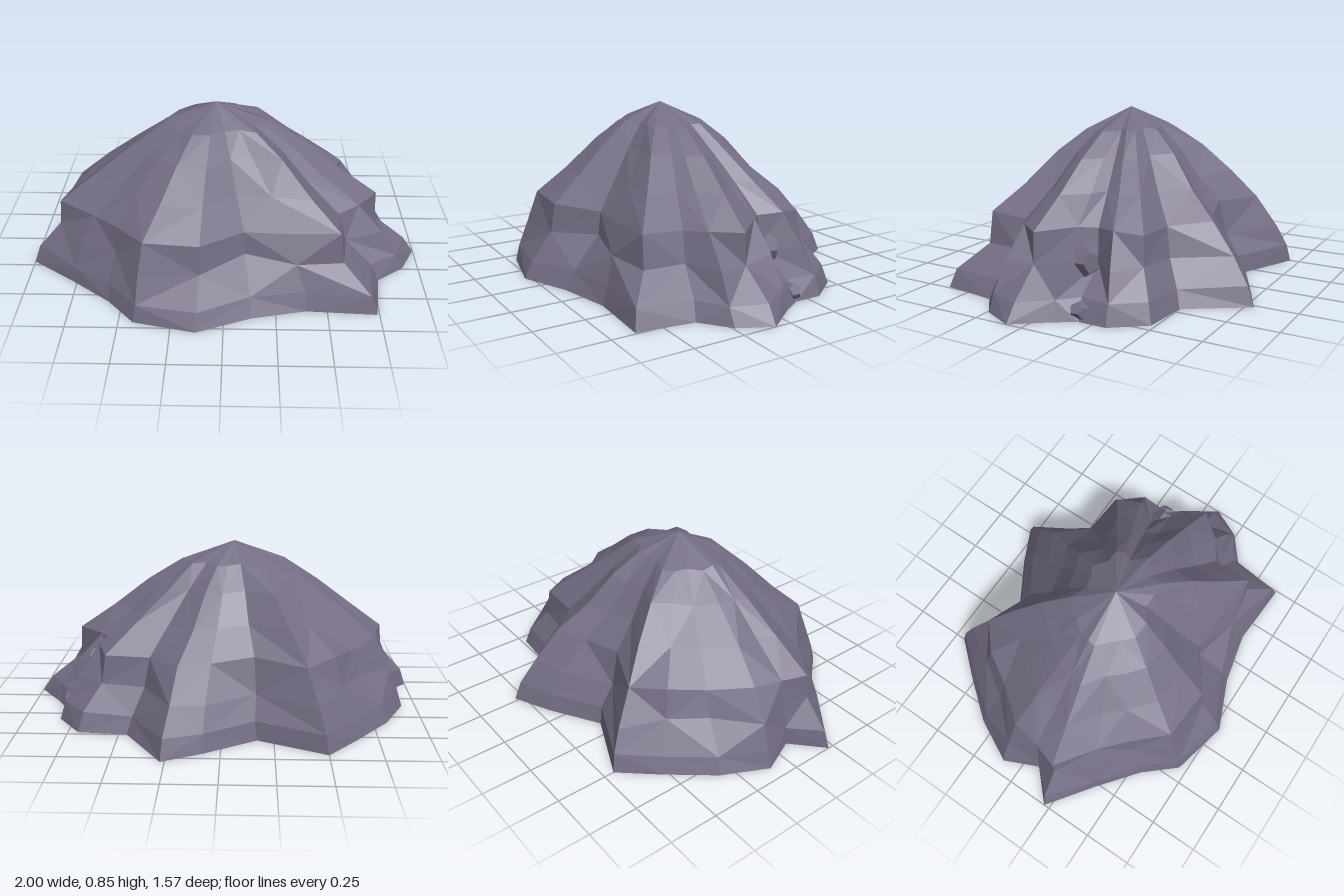
import * as THREE from 'three';

// Outline on the ground, as [x, z], running from the left side round the front
const base = [
  [1, 0.08], [0.92, 0.24], [0.78, 0.35], [0.74, 0.63], [0.4, 0.61], [0.13, 0.67],
  [-0.13, 0.78], [-0.43, 0.71], [-0.57, 0.55], [-0.77, 0.39], [-1, 0.22], [-0.85, 0.08],
  [-0.93, -0.1], [-0.82, -0.32], [-0.65, -0.53], [-0.5, -0.7], [-0.17, -0.55], [0.08, -0.7],
  [0.27, -0.79], [0.46, -0.5], [0.7, -0.48], [0.82, -0.32], [0.82, -0.18], [0.88, -0.08],
];
// Outline of the shoulder, where the lower cliffs meet the upper slopes
const shoulder = [
  [0.77, 0.08], [0.67, 0.21], [0.56, 0.28], [0.56, 0.49], [0.3, 0.47], [0.09, 0.46],
  [-0.12, 0.62], [-0.38, 0.59], [-0.53, 0.45], [-0.64, 0.33], [-0.84, 0.19], [-0.8, 0.07],
  [-0.78, -0.08], [-0.64, -0.26], [-0.54, -0.41], [-0.4, -0.54], [-0.15, -0.42], [0.05, -0.48],
  [0.2, -0.54], [0.36, -0.38], [0.57, -0.37], [0.62, -0.25], [0.57, -0.14], [0.64, -0.06],
];
// How far each cliff has already drawn in to the shoulder at half its height
const drawIn = [
  0.95, 0.5, 0.8, 0.9, 0.55, 0.9, 0.85, 0.5, 0.9, 0.4, 0.98, 0.8,
  0.5, 0.75, 0.75, 0.46, 0.7, 0.4, 0.46, 0.8, 0.85, 0.5, 0.9, 0.5,
];
const apex = [-0.05, 0.85, 0.04];
const n = base.length;

function seeded(seed) {
  let s = seed;
  return () => (s = (s * 16807) % 2147483647) / 2147483647 - 0.5;
}

function moundGeometry() {
  const rand = seeded(77);
  const rings = [base.map(([x, z]) => [x, 0, z])];

  // Lower cliffs: blend unevenly from the ground outline to the shoulder
  const cliffs = [
    [0.09, (i) => 0.08 + 0.15 * drawIn[i], 0.015],
    [0.22, (i) => drawIn[i], 0.05],
    [0.365, () => 1, 0.025],
  ];
  for (const [y, blend, rough] of cliffs) {
    rings.push(base.map(([x, z], i) => [
      THREE.MathUtils.lerp(x, shoulder[i][0], blend(i)) + rand() * 0.015,
      y + rand() * rough,
      THREE.MathUtils.lerp(z, shoulder[i][1], blend(i)) + rand() * 0.015,
    ]));
  }
  // Upper slopes: the shoulder shrinks towards the peak
  for (const [y, scale] of [[0.5, 0.765], [0.64, 0.54], [0.755, 0.33]]) {
    rings.push(shoulder.map(([x, z]) => {
      const s = scale * (1 + rand() * 0.06);
      return [apex[0] + (x - apex[0]) * s, y + rand() * 0.02, apex[2] + (z - apex[2]) * s];
    }));
  }

  const pos = [];
  const tri = (...corners) => corners.forEach((p) => pos.push(...p));
  const top = rings[rings.length - 1];
  for (let i = 0; i < n; i++) {
    const k = (i + 1) % n;
    for (let j = 0; j < rings.length - 1; j++) {
      const a = rings[j][i], b = rings[j][k], c = rings[j + 1][i], d = rings[j + 1][k];
      if ((i + j) % 2) {
        tri(a, c, b);
        tri(b, c, d);
      } else {
        tri(a, c, d);
        tri(a, d, b);
      }
    }
    tri(top[i], apex, top[k]);
    tri([apex[0], 0, apex[2]], rings[0][i], rings[0][k]);
  }
  const geo = new THREE.BufferGeometry();
  geo.setAttribute('position', new THREE.Float32BufferAttribute(pos, 3));
  geo.computeVertexNormals();
  return geo;
}

export function createModel() {
  const group = new THREE.Group();
  group.name = 'rockMound';
  const stone = new THREE.MeshStandardMaterial({ color: 0x746d84 });
  stone.name = 'purple grey stone';

  const mound = new THREE.Mesh(moundGeometry(), stone);
  mound.name = 'mound';
  group.add(mound);

  // Small knobs of stone on the left flank
  const knobs = [
    ['upperKnob', [0.65, 0.23, -0.12], [0.07, 0.085, 0.065]],
    ['lowerKnob', [0.79, 0.043, -0.17], [0.05, 0.045, 0.055]],
  ];
  for (const [name, at, size] of knobs) {
    const knob = new THREE.Mesh(new THREE.DodecahedronGeometry(1, 0), stone);
    knob.name = name;
    knob.position.set(...at);
    knob.scale.set(...size);
    group.add(knob);
  }
  return group;
}
